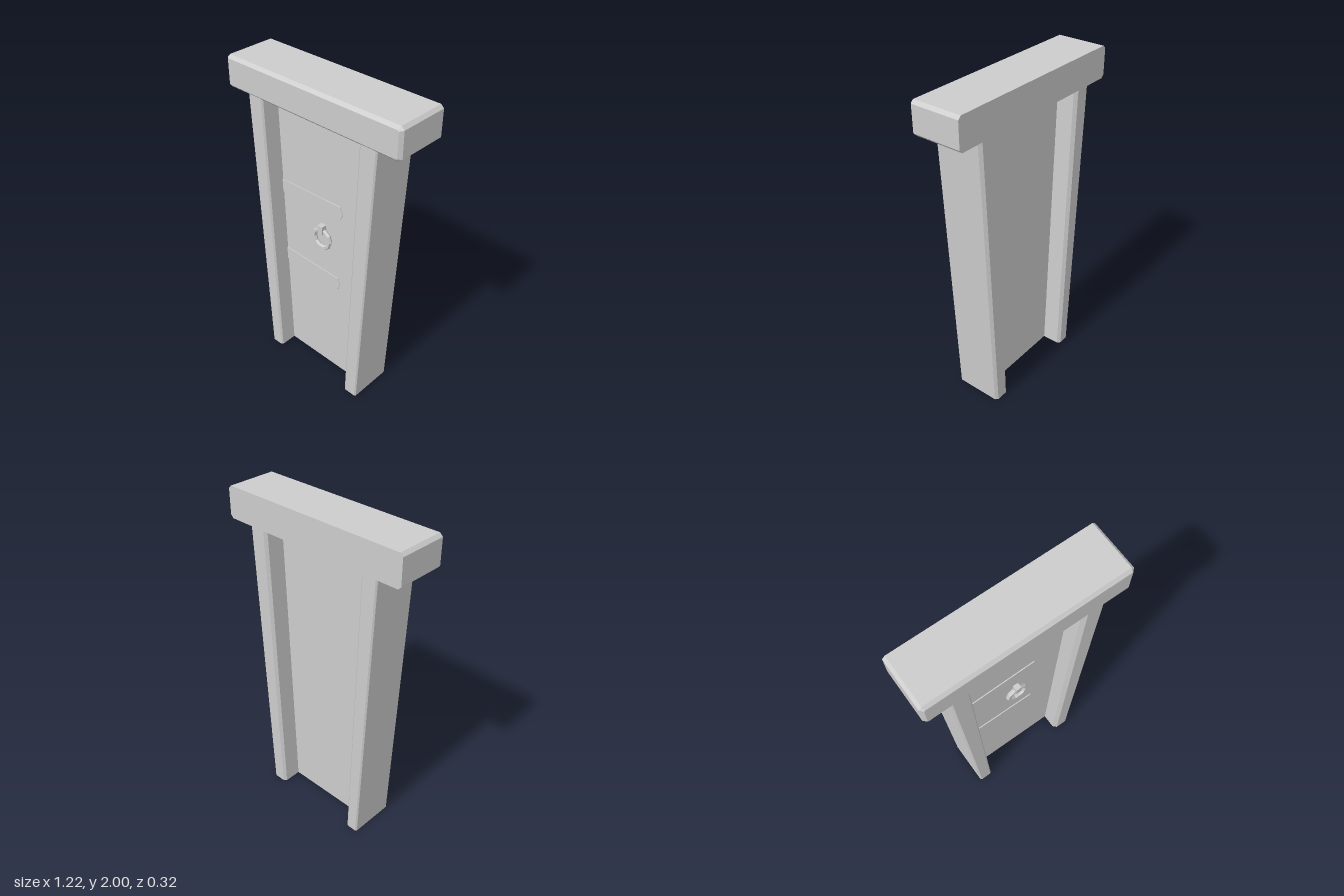
import * as THREE from 'three';

const metalGrey = new THREE.MeshStandardMaterial({ color: 0xcccccc, flatShading: true });

function addMesh(parent, name, geometry, x = 0, y = 0, z = 0) {
  const mesh = new THREE.Mesh(geometry, metalGrey);
  mesh.name = name;
  mesh.position.set(x, y, z);
  parent.add(mesh);
  return mesh;
}

// Joins equal-length loops of points into a closed solid.
// Loops run counter-clockwise as seen from the last loop's end.
function loft(loops) {
  const n = loops[0].length;
  const out = [];
  const tri = (a, b, c) => out.push(...a, ...b, ...c);
  for (let k = 0; k < loops.length - 1; k++) {
    const a = loops[k], b = loops[k + 1];
    for (let i = 0; i < n; i++) {
      const j = (i + 1) % n;
      tri(a[i], a[j], b[j]);
      tri(a[i], b[j], b[i]);
    }
  }
  const first = loops[0], last = loops[loops.length - 1];
  for (let i = 1; i < n - 1; i++) {
    tri(first[0], first[i + 1], first[i]);
    tri(last[0], last[i], last[i + 1]);
  }
  const g = new THREE.BufferGeometry();
  g.setAttribute('position', new THREE.Float32BufferAttribute(out, 3));
  g.computeVertexNormals();
  return g;
}

// Rectangle with cut corners, counter-clockwise from the lower right.
// Corner cuts: lower right, upper right, upper left, lower left.
function cutRect(x0, x1, y0, y1, [lr, ur, ul, ll]) {
  return [
    [x1 - lr, y0], [x1, y0 + lr], [x1, y1 - ur], [x1 - ur, y1],
    [x0 + ul, y1], [x0, y1 - ul], [x0, y0 + ll], [x0 + ll, y0],
  ];
}

// Leaning post: a cut rectangle in plan, wider at the top
function postGeometry(bottom, top, cuts) {
  const level = ([x0, x1], y) =>
    cutRect(x0, x1, -0.145, 0.155, cuts).map(([x, back]) => [x, y, -back]);
  return loft([level(bottom, 0), level(top, 1.82)]);
}

// Strap hinge with a blunt point, as a thin plate
function strapGeometry(points) {
  const shape = new THREE.Shape(points.map(([x, y]) => new THREE.Vector2(x, y)));
  return new THREE.ExtrudeGeometry(shape, { depth: 0.012, bevelEnabled: false });
}

export function createModel() {
  const model = new THREE.Group();
  model.name = 'taperedDoor';

  // Lintel: bevelled everywhere except around its flat back
  const b = 0.018;
  const ring = (inset, z) =>
    cutRect(-0.61 + inset, 0.61 - inset, 1.81 + inset, 2 - inset, [b, b, b, b].map((c) => c - inset * 0.7))
      .map(([x, y]) => [x, y, z]);
  addMesh(model, 'lintel', loft([ring(0, -0.16), ring(0, 0.158 - b), ring(b, 0.158)]));

  // Posts, slightly unequal on their inner edges
  addMesh(model, 'leftPost',
    postGeometry([0.27, 0.375], [0.335, 0.46], [0.008, 0.016, 0.016, 0.022]));
  addMesh(model, 'rightPost',
    postGeometry([-0.375, -0.287], [-0.46, -0.35], [0.01, 0.018, 0.008, 0.01]));

  // Door panel tapering down between the posts
  const panelLevel = (half, y, d) => [[half, y, -d], [-half, y, -d], [-half, y, d], [half, y, d]];
  addMesh(model, 'doorPanel', loft([
    panelLevel(0.3, 0, 0.03), panelLevel(0.365, 1.79, 0.03), panelLevel(0.355, 1.8, 0.02),
  ]));

  // Strap hinges on the viewer's left edge
  addMesh(model, 'upperHinge', strapGeometry([
    [-0.335, 1.183], [0.13, 1.195], [0.148, 1.235], [0.128, 1.28], [-0.338, 1.266],
  ]), 0, 0, 0.024);
  addMesh(model, 'lowerHinge', strapGeometry([
    [-0.315, 0.683], [0.115, 0.671], [0.135, 0.713], [0.115, 0.755], [-0.318, 0.767],
  ]), 0, 0, 0.024);

  // Ring handle hanging from a small staple
  const handle = new THREE.Group();
  handle.name = 'handle';
  handle.position.set(0, 1.005, 0.046);
  model.add(handle);
  addMesh(handle, 'handleRing', new THREE.TorusGeometry(0.061, 0.015, 6, 10));
  addMesh(handle, 'handleStaple', new THREE.BoxGeometry(0.036, 0.055, 0.04), 0, 0.068, 0);

  return model;
}
